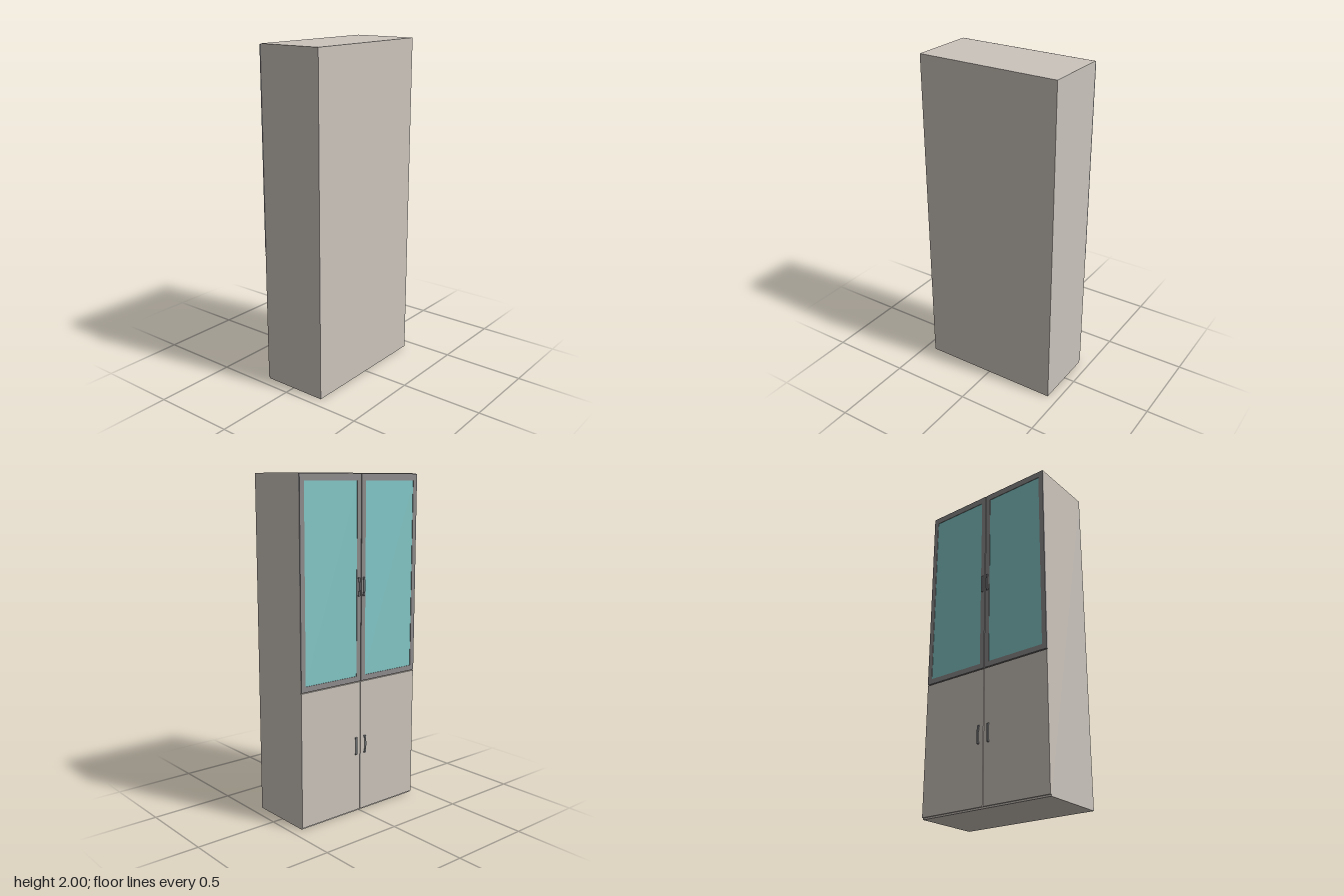
import * as THREE from 'three';

export function createModel() {
  const group = new THREE.Group();
  group.name = 'cabinet';
  const mat = (name, color) => {
    const m = new THREE.MeshStandardMaterial({ color });
    m.name = name;
    return m;
  };
  const panel = mat('warm grey panel', 0xcbc4bc);
  const frame = mat('dark grey frame', 0x8e8b8b);
  const glass = mat('teal glass', 0x84c8c8);
  const metal = mat('handle grey', 0x868a8c);

  const add = (name, geo, material, x = 0, y = 0, z = 0) => {
    const mesh = new THREE.Mesh(geo, material);
    mesh.name = name;
    mesh.position.set(x, y, z);
    group.add(mesh);
  };
  const rect = (Type, z0, y0, z1, y1) => new Type([
    new THREE.Vector2(z0, y0), new THREE.Vector2(z1, y0),
    new THREE.Vector2(z1, y1), new THREE.Vector2(z0, y1),
  ]);

  // Closed carcass; the doors are on the -x side
  add('carcass', new THREE.BoxGeometry(0.4, 2, 0.87), panel, 0.01, 1, 0);

  // Bowed pull: an arch standing out towards -x, extruded along z
  const pull = new THREE.Shape();
  pull.moveTo(0, -0.055);
  pull.lineTo(-0.008, -0.053);
  pull.quadraticCurveTo(-0.014, 0, -0.008, 0.053);
  pull.lineTo(0, 0.055);
  pull.lineTo(0, 0.045);
  pull.lineTo(-0.004, 0.044);
  pull.quadraticCurveTo(-0.009, 0, -0.004, -0.044);
  pull.lineTo(0, -0.045);
  const pullGeo = new THREE.ExtrudeGeometry(pull, { depth: 0.011, bevelEnabled: false, curveSegments: 8 });
  pullGeo.translate(0, 0, -0.0055);

  const outer = 0.435, inner = 0.002;
  for (const s of [-1, 1]) {
    const side = s < 0 ? 'Back' : 'Front';
    const zMid = s * (outer + inner) / 2;
    const w = outer - inner;

    // Plain lower door
    add('lowerDoor' + side, new THREE.BoxGeometry(0.008, 0.795, w), panel, -0.194, 0.4075, zMid);

    // Upper door frame around a glass pane
    const shape = rect(THREE.Shape, -w / 2, 0.81, w / 2, 1.997);
    shape.holes.push(rect(THREE.Path, -w / 2 + 0.03, 0.842, w / 2 - 0.03, 1.957));
    const frameGeo = new THREE.ExtrudeGeometry(shape, { depth: 0.01, bevelEnabled: false });
    frameGeo.rotateY(-Math.PI / 2);
    add('upperDoorFrame' + side, frameGeo, frame, -0.19, 0, zMid);
    add('glassPane' + side, new THREE.BoxGeometry(0.006, 1.13, w - 0.05), glass, -0.194, 1.4, zMid);

    // Pulls beside the centre gap
    add('upperHandle' + side, pullGeo, metal, -0.199, 1.365, s * 0.0175);
    add('lowerHandle' + side, pullGeo, metal, -0.198, 0.415, s * 0.0345);
  }
  return group;
}
